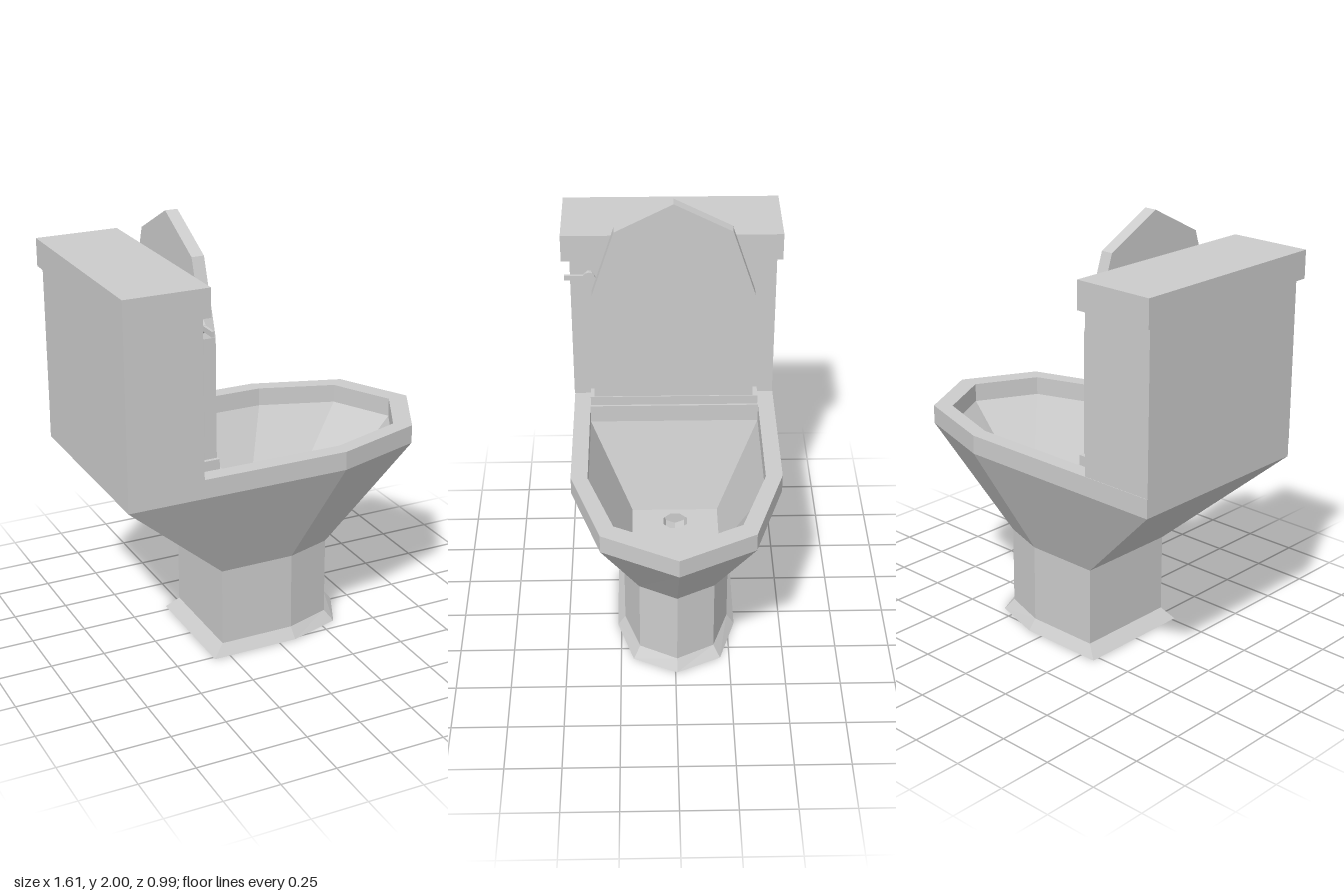
import * as THREE from 'three';

const grey = new THREE.MeshStandardMaterial({ color: 0xcccccc, flatShading: true });
const greyDouble = new THREE.MeshStandardMaterial({ color: 0xcccccc, flatShading: true, side: THREE.DoubleSide });

// Plan outline of the bowl: square at the back, pointed at the front (+x)
const outline = (back, mid, width, front, frontWidth, tip) => [
  [back, width], [mid, width], [front, frontWidth], [tip, 0],
  [front, -frontWidth], [mid, -width], [back, -width],
];

// Skin of quads between successive [y, outline] rings
function loft(rings) {
  const pos = [];
  const put = ([y, pts], i) => pos.push(pts[i % pts.length][0], y, pts[i % pts.length][1]);
  for (let r = 0; r < rings.length - 1; r++) {
    const lo = rings[r], hi = rings[r + 1];
    for (let i = 0; i < lo[1].length; i++) {
      put(lo, i); put(lo, i + 1); put(hi, i + 1);
      put(lo, i); put(hi, i + 1); put(hi, i);
    }
  }
  const geo = new THREE.BufferGeometry();
  geo.setAttribute('position', new THREE.Float32BufferAttribute(pos, 3));
  geo.computeVertexNormals();
  return geo;
}

const toShape = (pts) => new THREE.Shape(pts.map(([x, z]) => new THREE.Vector2(x, -z)));

export function createModel() {
  const group = new THREE.Group();
  group.name = 'toilet';

  const add = (name, geo, x = 0, y = 0, z = 0, material = grey, parent = group) => {
    const mesh = new THREE.Mesh(geo, material);
    mesh.name = name;
    mesh.position.set(x, y, z);
    parent.add(mesh);
    return mesh;
  };
  const box = (name, x0, x1, y0, y1, z0, z1) =>
    add(name, new THREE.BoxGeometry(x1 - x0, y1 - y0, z1 - z0), (x0 + x1) / 2, (y0 + y1) / 2, (z0 + z1) / 2);

  const zMid = -0.008;
  const foot = outline(-0.325, 0.08, 0.275, 0.32, 0.2, 0.415);
  const stem = outline(-0.27, 0.075, 0.24, 0.285, 0.17, 0.375);
  const rim = outline(-0.79, 0.22, 0.462, 0.63, 0.328, 0.8);
  const mouth = outline(-0.335, 0.225, 0.388, 0.565, 0.272, 0.705);
  const floor = outline(-0.215, 0.075, 0.2, 0.25, 0.14, 0.325);

  // Pedestal, bowl, rim and the inside of the bowl as one skin
  add('pedestalAndBowl', loft([
    [0, foot], [0.05, stem], [0.41, stem], [0.89, rim], [0.975, rim],
    [0.975, mouth], [0.89, mouth], [0.46, floor],
  ]), 0, 0, zMid);
  add('pedestalBottom', new THREE.ShapeGeometry(toShape(foot)).rotateX(Math.PI / 2), 0, 0, zMid);

  // Bowl floor with an octagonal drain opening and the pipe below it
  const floorShape = toShape(floor);
  const drain = [];
  for (let i = 0; i < 8; i++) {
    const a = (i + 0.5) * Math.PI / 4;
    drain.push(new THREE.Vector2(-0.127 + 0.06 * Math.cos(a), 0.06 * Math.sin(a)));
  }
  floorShape.holes.push(new THREE.Path(drain));
  add('bowlFloor', new THREE.ShapeGeometry(floorShape).rotateX(-Math.PI / 2), 0, 0.46, zMid);
  add('drainPipe', new THREE.CylinderGeometry(0.06, 0.06, 0.125, 4, 1, false, Math.PI, Math.PI).rotateZ(Math.PI / 2),
    -0.127, 0.46, zMid, greyDouble);

  // Cistern
  box('tank', -0.79, -0.45, 0.975, 1.69, -0.468, 0.456);
  box('tankLid', -0.805, -0.43, 1.685, 1.81, -0.493, 0.493);

  // Raised seat cover and its hinge
  box('hingeBar', -0.418, -0.345, 0.972, 1.02, -0.393, 0.378);
  const cover = new THREE.Shape([
    [-0.365, 0.98], [0.365, 0.98], [0.365, 1.55], [0.26, 1.867], [0, 2],
    [-0.26, 1.867], [-0.365, 1.55],
  ].map(([x, y]) => new THREE.Vector2(x, y)));
  add('seatCover', new THREE.ExtrudeGeometry(cover, { depth: 0.055, bevelEnabled: false }).rotateY(Math.PI / 2),
    -0.405, 0, -0.005);

  // Flush handle
  const handle = new THREE.Group();
  handle.name = 'flushHandle';
  handle.position.set(-0.45, 1.61, 0.37);
  group.add(handle);
  const disc = (name, r, len, x) =>
    add(name, new THREE.CylinderGeometry(r, r, len, 12).rotateZ(Math.PI / 2), x, 0, 0, grey, handle);
  disc('handlePlate', 0.018, 0.012, 0.005);
  disc('handleStem', 0.01, 0.03, 0.018);
  disc('handleKnob', 0.028, 0.014, 0.033);
  add('handleLever', new THREE.BoxGeometry(0.012, 0.024, 0.11), 0.033, 0, 0.055, grey, handle);

  return group;
}
